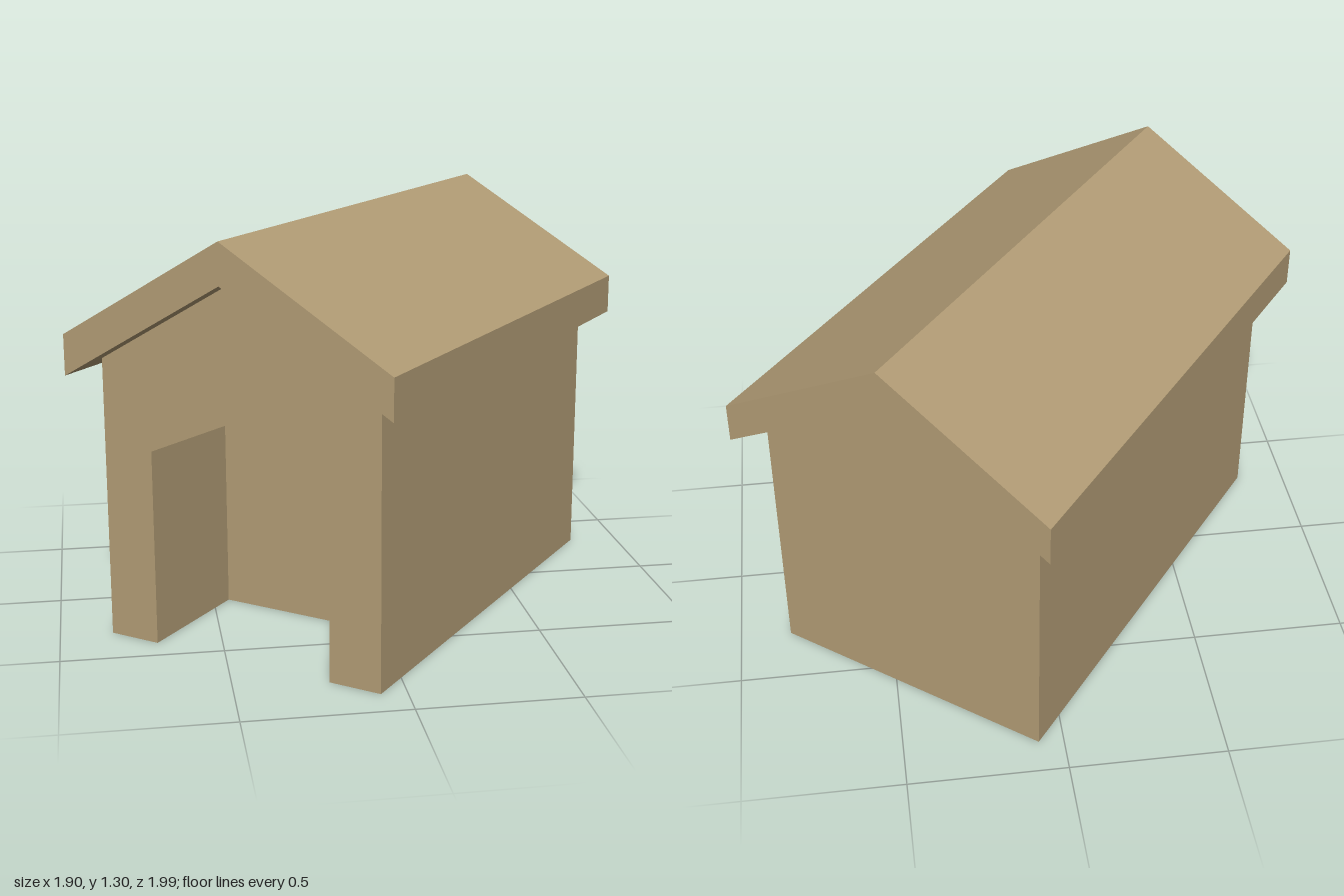
import * as THREE from 'three';

// Extrude an outline [x, y] along z from z0 to z1
function prism(name, points, z0, z1, material) {
  const shape = new THREE.Shape(points.map(([x, y]) => new THREE.Vector2(x, y)));
  const geometry = new THREE.ExtrudeGeometry(shape, { depth: z1 - z0, bevelEnabled: false });
  geometry.translate(0, 0, z0);
  const mesh = new THREE.Mesh(geometry, material);
  mesh.name = name;
  return mesh;
}

export function createModel() {
  const wood = new THREE.MeshStandardMaterial({ color: 0xb39d76 });
  wood.name = 'tan wood';

  const wallX = 0.478, wallZ = 0.749, wallTop = 0.893, gable = 1.172;
  const doorX = 0.307, doorSide = 0.622, doorPeak = 0.757, doorDepth = 0.41;
  const roofX = 0.557, roofZ = 0.83, eave = 0.847, thickness = 0.128;

  const house = new THREE.Group();
  house.name = 'kennel';

  // Solid rear block of the body, which also closes the doorway recess
  house.add(prism('rearBody', [
    [-wallX, 0], [wallX, 0], [wallX, wallTop], [0, gable], [-wallX, wallTop],
  ], -wallZ, wallZ - doorDepth, wood));

  // Front block with the peaked doorway cut through it
  house.add(prism('frontBody', [
    [-wallX, 0], [-doorX, 0], [-doorX, doorSide], [0, doorPeak], [doorX, doorSide], [doorX, 0],
    [wallX, 0], [wallX, wallTop], [0, gable], [-wallX, wallTop],
  ], wallZ - doorDepth, wallZ, wood));

  // Overhanging gable roof with upright eave edges
  house.add(prism('roof', [
    [-roofX, eave], [0, gable], [roofX, eave],
    [roofX, eave + thickness], [0, gable + thickness], [-roofX, eave + thickness],
  ], -roofZ, roofZ, wood));

  // The whole house stands turned on its plot
  house.rotation.y = -0.657;

  const model = new THREE.Group();
  model.name = 'doghouse';
  model.add(house);
  return model;
}
